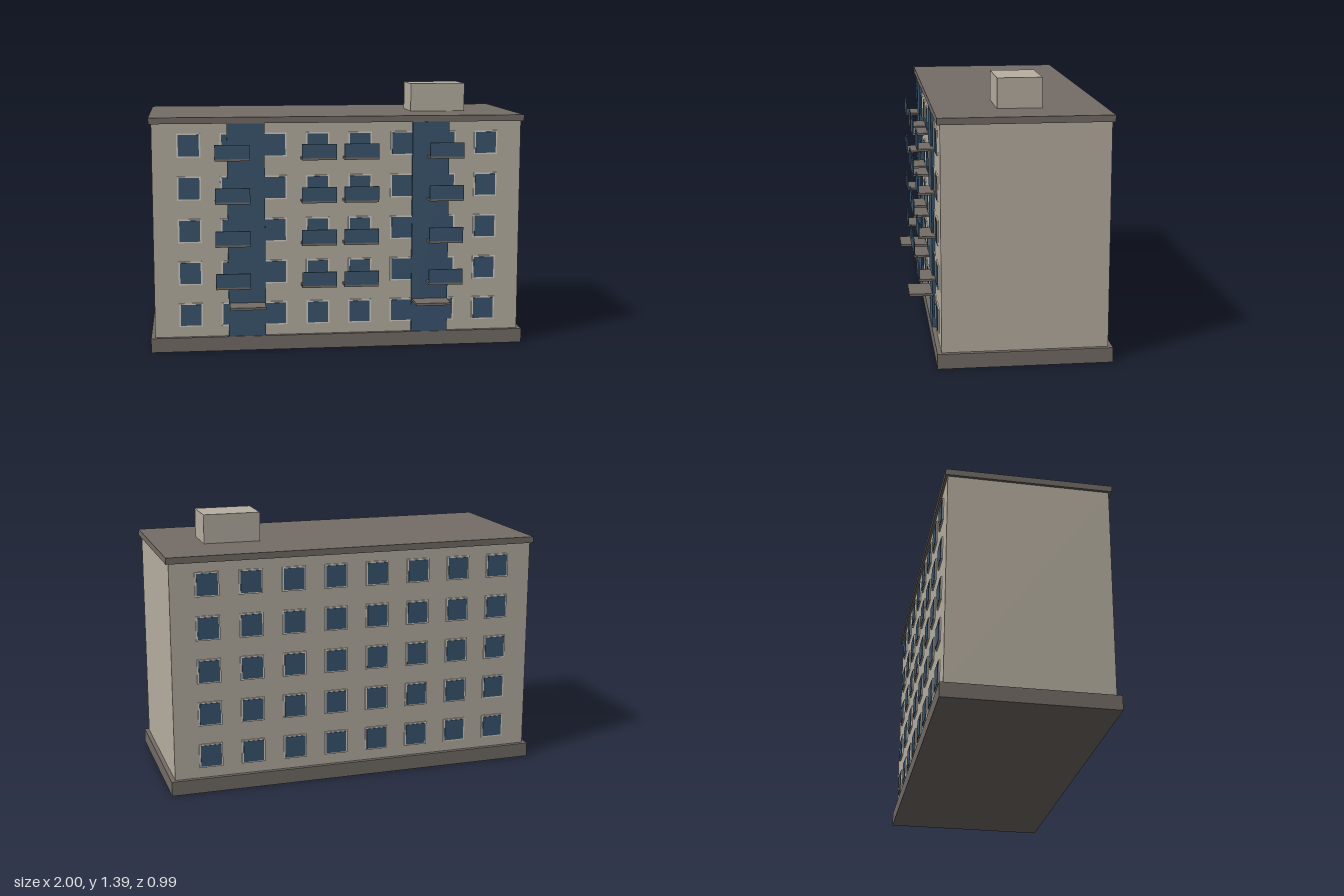
import * as THREE from 'three';

const material = (name, color) => {
  const m = new THREE.MeshStandardMaterial({ color });
  m.name = name;
  return m;
};

export function createModel() {
  const wall = material('beige wall', 0xb8b0a2);
  const trim = material('grey concrete', 0x746d67);
  const glass = material('blue glass', 0x3a5670);
  const frame = material('light frame', 0xd4cfc5);

  const model = new THREE.Group();
  model.name = 'apartmentBlock';

  // Box given by its limits on each axis
  const box = (name, mat, [x0, x1], [y0, y1], [z0, z1], parent = model) => {
    const mesh = new THREE.Mesh(new THREE.BoxGeometry(x1 - x0, y1 - y0, z1 - z0), mat);
    mesh.position.set((x0 + x1) / 2, (y0 + y1) / 2, (z0 + z1) / 2);
    mesh.name = name;
    parent.add(mesh);
    return mesh;
  };
  const around = (c, size) => [c - size / 2, c + size / 2];

  const front = 0.358, back = -0.472;

  // Main volumes
  box('plinth', trim, [-1, 1], [0, 0.076], [-0.493, 0.38]);
  box('walls', wall, [-0.978, 0.978], [0.076, 1.21], [back, front]);
  box('roofSlab', trim, [-0.992, 0.992], [1.21, 1.243], [-0.485, 0.373]);
  box('roofHouse', wall, [0.435, 0.735], [1.243, 1.395], [-0.169, 0.057]);

  // Windows: frame plate with a pane in front, on both long sides
  const addWindow = (x, y, z, side) => {
    const g = new THREE.Group();
    g.name = 'window';
    g.position.set(x, y, z);
    if (side < 0) g.rotation.y = Math.PI;
    box('windowFrame', frame, around(0, 0.124), around(0, 0.126), [-0.004, 0.007], g);
    box('windowPane', glass, around(0, 0.108), around(0, 0.112), [0.006, 0.01], g);
    model.add(g);
  };
  const floorStep = 0.2255;
  for (let floor = 0; floor < 5; floor++) {
    for (let col = 0; col < 8; col++) {
      const x = (col - 3.5) * 0.225, y = 0.195 + floor * floorStep;
      addWindow(x, y, front, 1);
      addWindow(x, y, back, -1);
    }
  }

  for (const side of [-1, 1]) {
    // Glazed stairwell with entrance canopy
    box('stairwellGlazing', glass, around(side * 0.49, 0.196), [0.076, 1.21], [front - 0.01, 0.375]);
    box('entranceCanopy', trim, around(side * 0.49, 0.187), [0.244, 0.257], [front, 0.494]);

    // Balconies on the upper floors
    for (const x of [0.112, 0.5635]) {
      for (let floor = 0; floor < 4; floor++) {
        const y = 0.345 + floor * floorStep;
        const g = new THREE.Group();
        g.name = 'balcony';
        box('balconySlab', trim, around(side * x, 0.182), [y, y + 0.011], [front, 0.448], g);
        box('balconyPanel', glass, around(side * x, 0.182), [y + 0.011, y + 0.084], [0.441, 0.448], g);
        model.add(g);
      }
    }
  }

  return model;
}
